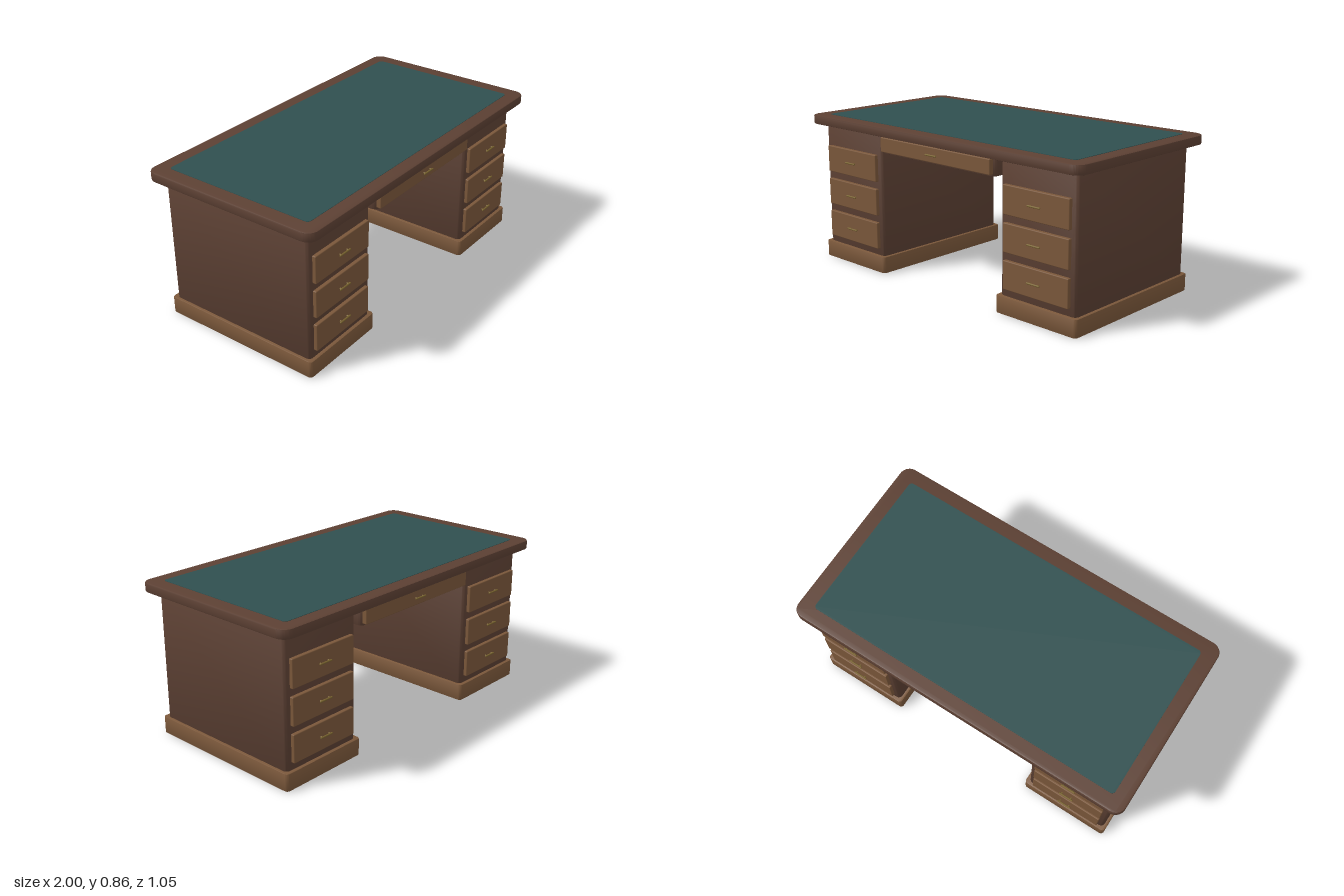
import * as THREE from 'three';
import { toCreasedNormals } from 'three/addons/utils/BufferGeometryUtils.js';
import { RoundedBoxGeometry } from 'three/addons/geometries/RoundedBoxGeometry.js';

const material = (color) => new THREE.MeshStandardMaterial({ color });

export function createModel() {
  const darkWood = material(0x5c4033);
  const lightWood = material(0x7a573a);
  const leather = material(0x2f4f4f);
  const brass = material(0x7a6430);

  function add(parent, name, geometry, mat, x = 0, y = 0, z = 0) {
    const mesh = new THREE.Mesh(geometry, mat);
    mesh.name = name;
    mesh.position.set(x, y, z);
    parent.add(mesh);
    return mesh;
  }

  // Upright slab with rounded corners in plan and a small bevel; stands on its own y = 0
  function slab(w, h, d, radius, bevel) {
    const x = w / 2 - bevel, y = d / 2 - bevel, r = radius - bevel;
    const s = new THREE.Shape();
    s.absarc(x - r, y - r, r, 0, Math.PI / 2);
    s.absarc(-x + r, y - r, r, Math.PI / 2, Math.PI);
    s.absarc(-x + r, -y + r, r, Math.PI, Math.PI * 1.5);
    s.absarc(x - r, -y + r, r, Math.PI * 1.5, Math.PI * 2);
    s.closePath();
    const g = new THREE.ExtrudeGeometry(s, {
      depth: h - 2 * bevel, bevelEnabled: bevel > 0, bevelSize: bevel,
      bevelThickness: bevel, bevelSegments: 2, curveSegments: 8,
    });
    g.translate(0, 0, bevel);
    g.rotateX(-Math.PI / 2);
    return toCreasedNormals(g, 0.6);
  }

  // Drawer front with a bar pull on two posts, facing +z from its back plane
  function drawer(name, w, h, depth) {
    const g = new THREE.Group();
    g.name = name;
    add(g, 'drawerFront', new RoundedBoxGeometry(w, h, depth * 2, 2, 0.005), lightWood);
    const barZ = depth + 0.012;
    const bar = add(g, 'handleBar', new THREE.CapsuleGeometry(0.005, 0.075, 4, 8), brass, 0, 0, barZ);
    bar.rotation.z = Math.PI / 2;
    for (const s of [-1, 1]) {
      const post = add(g, 'handlePost', new THREE.CylinderGeometry(0.004, 0.004, 0.014, 8),
        brass, s * 0.028, 0, depth + 0.006);
      post.rotation.x = Math.PI / 2;
    }
    return g;
  }

  const desk = new THREE.Group();
  desk.name = 'desk';

  // Desktop with leather inlay
  add(desk, 'desktop', slab(2, 0.052, 1.05, 0.06, 0.008), darkWood, 0, 0.805, 0);
  add(desk, 'leatherInlay', slab(1.83, 0.006, 0.89, 0.02, 0), leather, 0, 0.853, 0);

  // Centre drawer case between the pedestals
  add(desk, 'drawerCase', slab(0.85, 0.105, 0.945, 0.03, 0.004), darkWood, 0, 0.703, 0);

  // Pedestals on plinths
  for (const side of [-1, 1]) {
    const pedestal = new THREE.Group();
    pedestal.name = side > 0 ? 'leftPedestal' : 'rightPedestal';
    pedestal.position.x = side * 0.695;
    add(pedestal, 'cabinet', slab(0.49, 0.73, 0.91, 0.025, 0.004), darkWood, 0, 0.08, 0);
    add(pedestal, 'plinth', slab(0.525, 0.096, 0.95, 0.02, 0.005), lightWood);
    desk.add(pedestal);
  }

  // Matching drawers on the front and the back
  for (const face of [1, -1]) {
    const bank = new THREE.Group();
    bank.name = face > 0 ? 'frontDrawers' : 'backDrawers';
    bank.rotation.y = face > 0 ? 0 : Math.PI;
    const centre = drawer('centreDrawer', 0.825, 0.082, 0.021);
    centre.position.set(0, 0.754, 0.472);
    bank.add(centre);
    for (const side of [-1, 1]) {
      for (let i = 0; i < 3; i++) {
        const d = drawer('pedestalDrawer', 0.422, 0.153, 0.02);
        d.position.set(side * 0.695, 0.213 + i * 0.195, 0.455);
        bank.add(d);
      }
    }
    desk.add(bank);
  }

  return desk;
}
